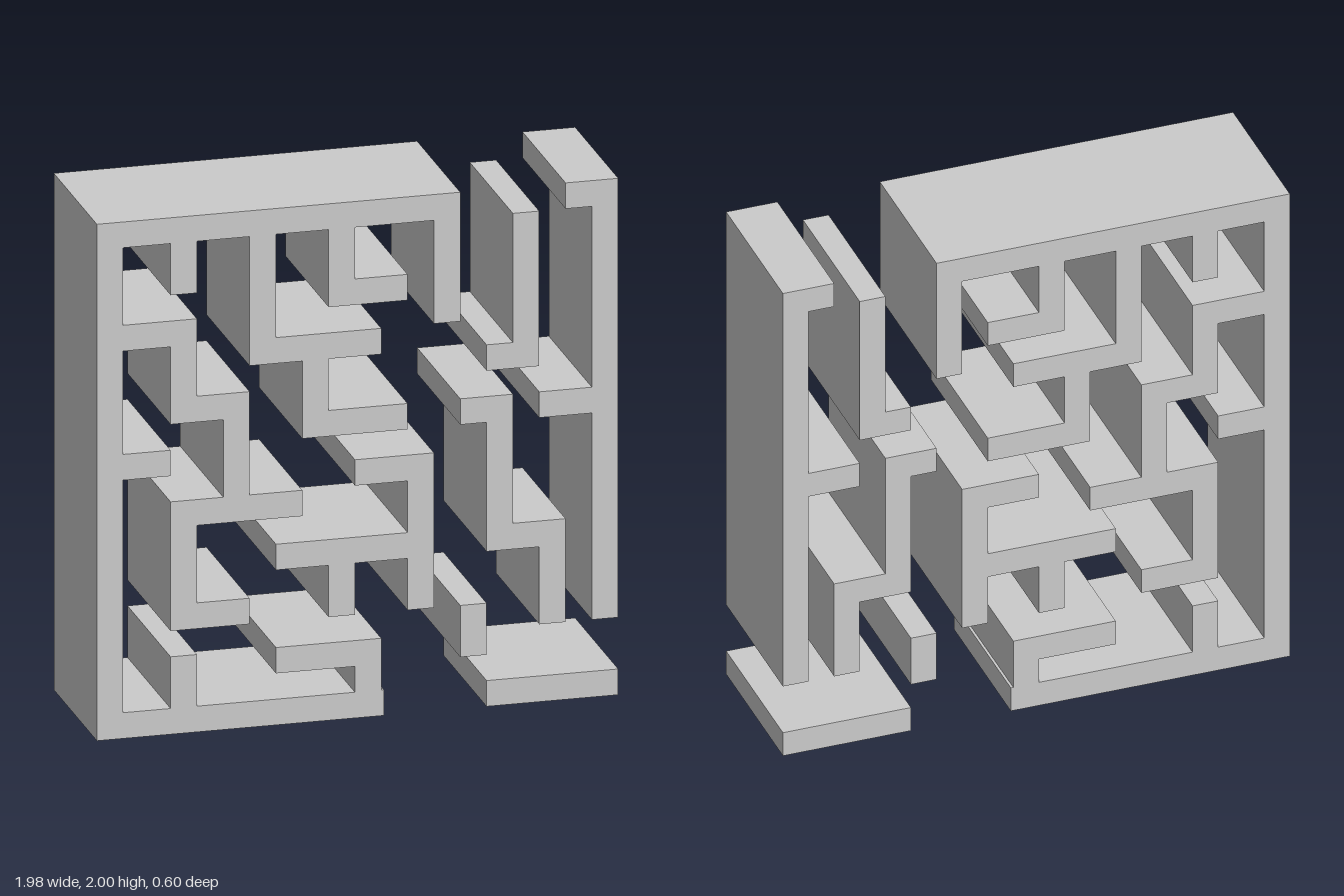
import * as THREE from 'three';

const DEPTH = 0.6;

// Right-angled wall outlines, counter-clockwise: a start corner (x, y),
// then alternating new x and new y values, one per corner.
const WALLS = {
  outerFrame: [
    -0.99, 0, 0.1, 0.1, 0.09, 0.3, -0.31, 0.2, -0.01, 0.1, -0.61, 0.3, -0.71, 0.1, // floor and its branches
    -0.89, 1.0, -0.71, 1.1, -0.89, 1.5, // left wall
    -0.71, 1.2, -0.51, 0.9, -0.71, 0.4, -0.41, 0.5, -0.61, 0.8, // left winding branch, down
    -0.21, 0.9, -0.41, 1.3, -0.61, 1.6, -0.89, 1.9, // and back up
    -0.71, 1.7, -0.61, 1.9, // top stub
    -0.41, 1.4, -0.21, 1.1, 0.19, 1.2, -0.11, 1.4, 0.09, 1.5, -0.31, 1.9, // long hanging branch
    -0.11, 1.6, 0.19, 1.7, -0.01, 1.9, // short hook
    0.29, 1.5, 0.39, 2, -0.99, // right drop and top edge
  ],
  centreWall: [
    -0.31, 0.6, -0.11, 0.4, -0.01, 0.6, 0.19, 0.4, 0.29, 1, -0.01, 0.9, 0.19, 0.7, -0.31,
  ],
  lowerPost: [0.39, 0.2, 0.49, 0.4, 0.39],
  upperHook: [0.49, 1.3, 0.69, 1.9, 0.59, 1.4, 0.49],
  steppedWall: [0.69, 0.3, 0.79, 0.7, 0.59, 1.2, 0.39, 1.1, 0.49, 0.6, 0.69],
  rightWall: [0.89, 0.3, 0.99, 2, 0.79, 1.9, 0.89, 1.2, 0.69, 1.1, 0.89],
  rightFloor: [0.49, 0, 0.99, 0.1, 0.49],
};

// Turns an alternating coordinate list into a closed shape
function outline([x, y, ...moves]) {
  const shape = new THREE.Shape().moveTo(x, y);
  moves.forEach((value, i) => {
    if (i % 2 === 0) x = value;
    else y = value;
    shape.lineTo(x, y);
  });
  shape.closePath();
  return shape;
}

export function createModel() {
  const maze = new THREE.Group();
  maze.name = 'maze';
  const material = new THREE.MeshStandardMaterial({ color: 0xcccccc, flatShading: true });

  for (const [name, coords] of Object.entries(WALLS)) {
    const geometry = new THREE.ExtrudeGeometry(outline(coords), { depth: DEPTH, bevelEnabled: false });
    geometry.translate(0, 0, -DEPTH / 2);
    const wall = new THREE.Mesh(geometry, material);
    wall.name = name;
    maze.add(wall);
  }
  return maze;
}
